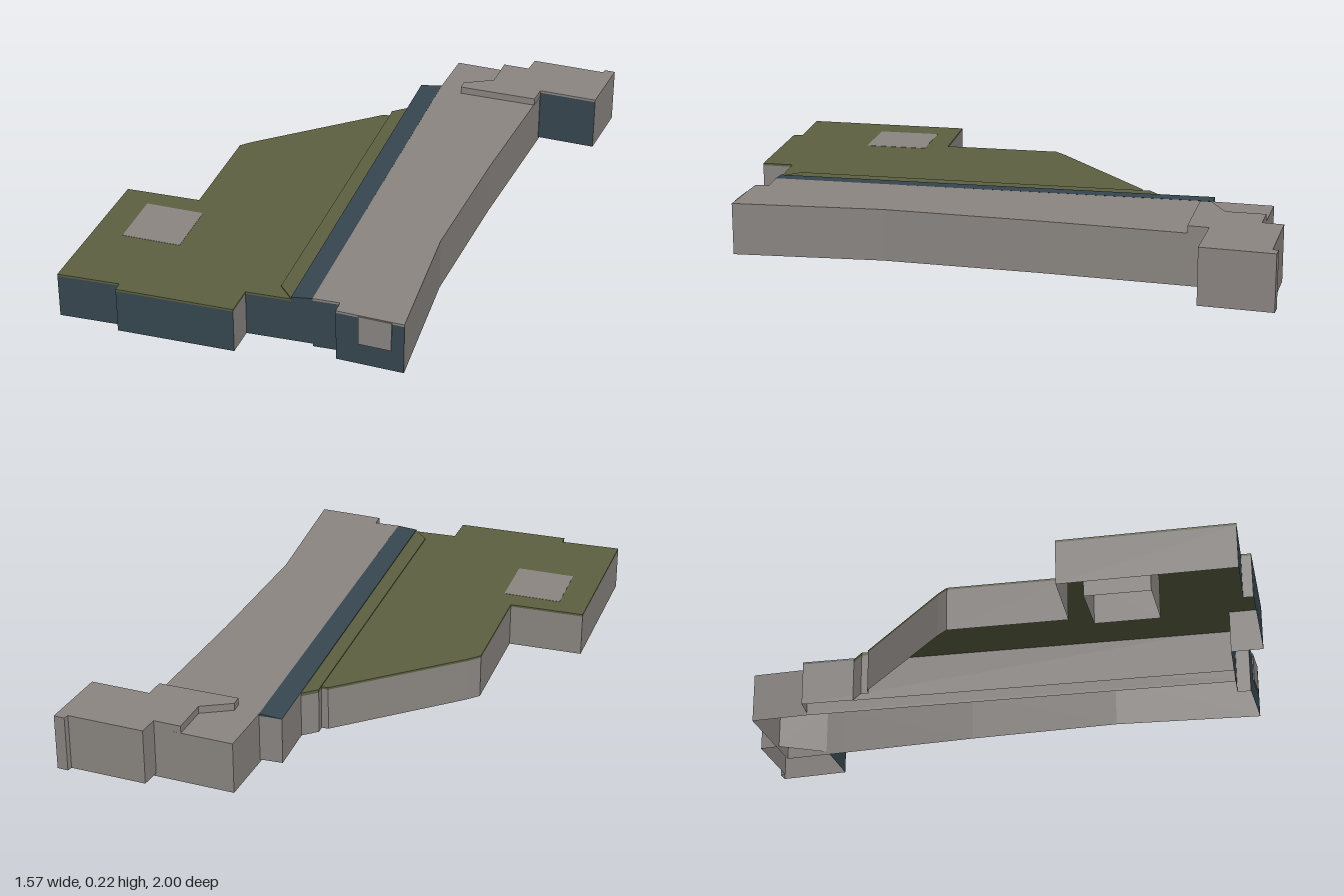
import * as THREE from 'three';

const mat = (name, color) => {
  const m = new THREE.MeshStandardMaterial({ color, side: THREE.DoubleSide });
  m.name = name;
  return m;
};

export function createModel() {
  const grey = mat('concrete grey', 0x8a8581);
  const olive = mat('olive roof', 0x5c6040);
  const blue = mat('slate blue', 0x364650);
  const model = new THREE.Group();

  const add = (parent, name, geometry, material) => {
    const mesh = new THREE.Mesh(geometry, material);
    mesh.name = name;
    parent.add(mesh);
    return mesh;
  };

  // Flat slab from a plan outline of [x, z] points, between two heights
  const slab = (pts, y0, y1, hole) => {
    const flat = (list) => list.map(([x, z]) => new THREE.Vector2(x, -z));
    const shape = new THREE.Shape(flat(pts));
    if (hole) shape.holes.push(new THREE.Path(flat(hole)));
    const g = new THREE.ExtrudeGeometry(shape, { depth: y1 - y0, bevelEnabled: false });
    return g.rotateX(-Math.PI / 2).translate(0, y0, 0);
  };

  // Vertical walls around a plan outline; those facing the front are blue
  const walls = (pts, y0, y1, frontBlue = true) => {
    const area = pts.reduce((s, [x, z], i) => {
      const [x2, z2] = pts[(i + 1) % pts.length];
      return s + x * z2 - x2 * z;
    }, 0);
    const loop = area > 0 ? [...pts].reverse() : pts;
    const pos = [];
    const g = new THREE.BufferGeometry();
    loop.forEach(([ax, az], i) => {
      const [bx, bz] = loop[(i + 1) % loop.length];
      const nz = (bx - ax) / Math.hypot(bx - ax, bz - az);
      g.addGroup(i * 6, 6, frontBlue && nz > 0.7 ? 1 : 0);
      pos.push(ax, y0, az, bx, y0, bz, bx, y1, bz, ax, y0, az, bx, y1, bz, ax, y1, az);
    });
    g.setAttribute('position', new THREE.Float32BufferAttribute(pos, 3));
    g.computeVertexNormals();
    return g;
  };

  // Open-bottomed block: walls with a thin roof on top
  const block = (name, pts, y0, y1, roofMat, hole) => {
    const group = new THREE.Group();
    group.name = name;
    model.add(group);
    add(group, name + 'Walls', walls(pts, y0, y1 - 0.008), [grey, blue]);
    const roof = add(group, name + 'Roof', slab(pts, y1 - 0.008, y1, hole), roofMat);
    return { group, roof };
  };

  // Low wing with the olive roof and a square court
  const court = [[-0.66, 0.425], [-0.445, 0.435], [-0.45, 0.665], [-0.665, 0.655]];
  const wing = block('wing', [
    [0, -0.465], [-0.025, -0.465], [-0.44, -0.12], [-0.48, -0.08], [-0.49, 0.35],
    [-0.765, 0.345], [-0.785, 0.955], [-0.56, 0.955], [-0.56, 0.99], [-0.14, 1],
    [-0.135, 0.885], [0.025, 0.885], [0.055, -0.54], [0, -0.495],
  ], 0.01, 0.175, olive, court);
  add(wing.group, 'courtWalls', walls(court, 0.01, 0.17, false), grey);
  add(wing.group, 'courtCover', slab(court, 0.17, 0.176), grey);
  add(wing.group, 'wingRoofBand', slab([
    [0, -0.465], [0, -0.495], [0.055, -0.54], [0.025, 0.885], [-0.03, 0.82],
  ], 0.175, 0.179), olive);

  // Narrow link strip, its roof tilted up towards the hall
  const link = block('link', [
    [0.055, -0.735], [0.137, -0.735], [0.1, 0.885], [0.025, 0.885],
  ], 0.01, 0.19, blue);
  const p = link.roof.geometry.attributes.position;
  for (let i = 0; i < p.count; i++) {
    const u = p.getX(i) + 0.018 * p.getZ(i);
    p.setY(i, p.getY(i) + (u - 0.118) * 0.1);
  }
  link.roof.geometry.computeVertexNormals();

  // Long hall
  const hall = block('hall', [
    [0.155, -0.952], [0.445, -0.925], [0.545, -0.915], [0.52, -0.675], [0.465, -0.155],
    [0.42, 0.41], [0.435, 0.955], [0.195, 0.935], [0.195, 0.885], [0.1, 0.885], [0.137, -0.735],
  ], 0, 0.19, grey);
  const panel = new THREE.BoxGeometry(0.117, 0.108, 0.006);
  const door = add(hall.group, 'frontPanel', panel, grey);
  door.position.set(0.333, 0.134, 0.948);
  door.rotation.y = -Math.atan2(0.02, 0.24);

  // Taller end block and the raised roof that laps over the hall
  const end = [
    [0.445, -0.925], [0.455, -1], [0.735, -0.975], [0.74, -0.995], [0.78, -0.99],
    [0.75, -0.73], [0.53, -0.75],
  ];
  const endGroup = new THREE.Group();
  endGroup.name = 'endBlock';
  model.add(endGroup);
  add(endGroup, 'endBlockWalls', walls(end, 0.012, 0.208), [grey, blue]);
  add(endGroup, 'endBlockRoof', slab(end, 0.208, 0.217), grey);
  add(endGroup, 'raisedRoof', slab([
    [0.345, -0.934], [0.445, -0.925], [0.53, -0.75], [0.522, -0.675],
    [0.225, -0.695], [0.225, -0.735], [0.335, -0.79],
  ], 0.19, 0.217), grey);

  return model;
}
